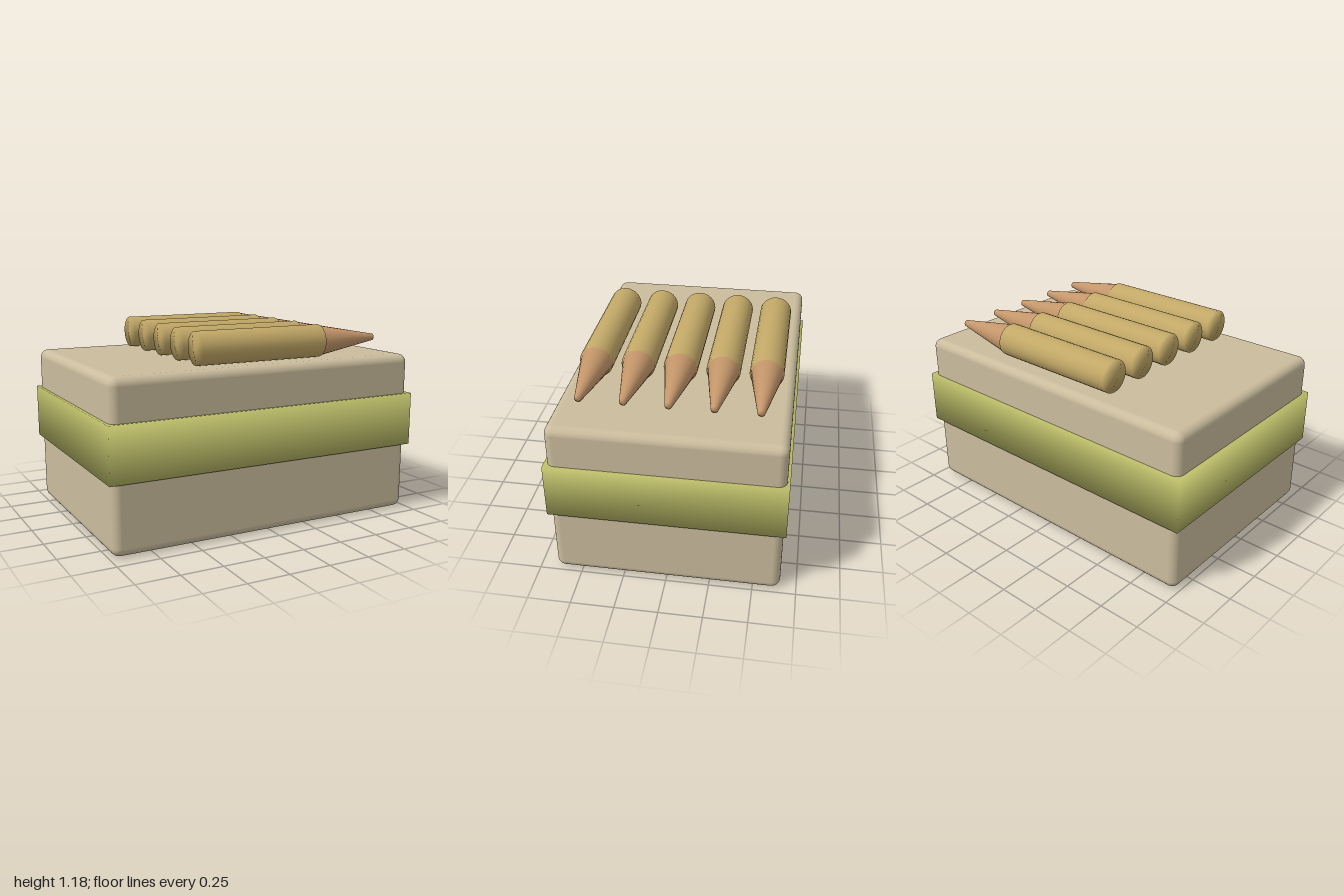
import * as THREE from 'three';
import { mergeVertices } from 'three/addons/utils/BufferGeometryUtils.js';
import { RoundedBoxGeometry } from 'three/addons/geometries/RoundedBoxGeometry.js';

const material = (name, color) => {
  const m = new THREE.MeshStandardMaterial({ color });
  m.name = name;
  return m;
};

// Weld all corners so that shading flows smoothly over every edge
function smooth(geometry) {
  geometry.deleteAttribute('normal');
  geometry.deleteAttribute('uv');
  const welded = mergeVertices(geometry, 1e-4);
  welded.computeVertexNormals();
  return welded;
}

// Closed round solid lying along x, from x0 to x1
function rod(r0, r1, x0, x1) {
  const g = new THREE.CylinderGeometry(r1, r0, x1 - x0, 24);
  g.rotateZ(-Math.PI / 2);
  g.translate((x0 + x1) / 2, 0, 0);
  return smooth(g);
}

export function createModel() {
  const model = new THREE.Group();
  const card = material('tan card', 0xcabc9d);
  const olive = material('olive band', 0xb9ba67);
  const brass = material('brass', 0xc2a867);
  const copper = material('copper', 0xc4966a);

  const add = (parent, name, geometry, mat) => {
    const mesh = new THREE.Mesh(geometry, mat);
    mesh.name = name;
    parent.add(mesh);
    return mesh;
  };

  // Carton with softened edges
  add(model, 'carton', new RoundedBoxGeometry(1.964, 0.984, 1.312, 4, 0.05), card).position.y = 0.492;

  // Wrap-around band
  add(model, 'band', smooth(new THREE.BoxGeometry(2, 0.326, 1.344)), olive).position.y = 0.577;

  // Five cartridges lying in a row on the lid
  const casing = rod(0.098, 0.098, -0.41, 0.406);
  const tip = rod(0.093, 0.02, 0.4, 0.817);
  for (let i = -2; i <= 2; i++) {
    const cartridge = new THREE.Group();
    cartridge.name = 'cartridge';
    cartridge.position.set(0, 1.084, i * 0.246);
    add(cartridge, 'casing', casing, brass);
    add(cartridge, 'bulletTip', tip, copper);
    model.add(cartridge);
  }
  return model;
}
